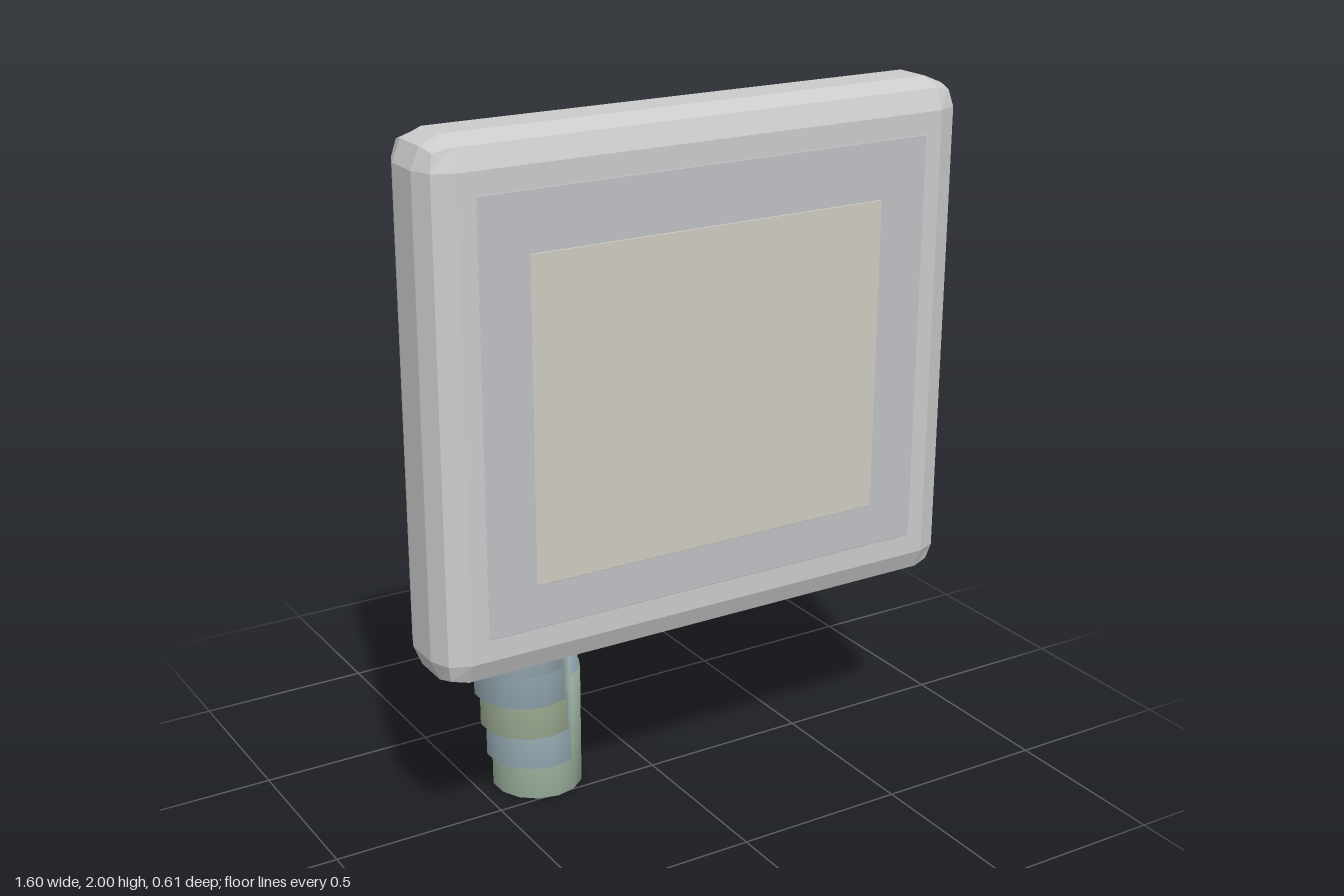
import * as THREE from 'three';
import { RoundedBoxGeometry } from 'three/addons/geometries/RoundedBoxGeometry.js';
import { mergeVertices } from 'three/addons/utils/BufferGeometryUtils.js';

const MINT = 0xb4e6d2, ORANGE = 0xd3a062, DARK = 0x5c6a66;

function mat(color, flatShading = true) {
  return new THREE.MeshStandardMaterial({ color, flatShading });
}

// Bevelled box given by its minimum and maximum corners
function block(parent, name, [x0, y0, z0], [x1, y1, z1], bevel, color) {
  const geo = new RoundedBoxGeometry(x1 - x0, y1 - y0, z1 - z0, 1, bevel);
  const mesh = new THREE.Mesh(geo, mat(color));
  mesh.position.set((x0 + x1) / 2, (y0 + y1) / 2, (z0 + z1) / 2);
  mesh.name = name;
  parent.add(mesh);
  return mesh;
}

// Cylinder between two points
function rod(parent, name, a, b, radius, color) {
  const dir = b.clone().sub(a);
  const mesh = new THREE.Mesh(new THREE.CylinderGeometry(radius, radius, dir.length(), 8), mat(color));
  mesh.position.copy(a).add(b).multiplyScalar(0.5);
  mesh.quaternion.setFromUnitVectors(new THREE.Vector3(0, 1, 0), dir.normalize());
  mesh.name = name;
  parent.add(mesh);
}

export function createModel() {
  const model = new THREE.Group();

  // Large slab with border and screen flush on both faces
  block(model, 'slab', [-0.8, 0.56, 0.04], [0.8, 2, 0.305], 0.08, 0xcccccc);
  block(model, 'screenBorder', [-0.67, 0.7, 0.039], [0.67, 1.86, 0.306], 0.002, 0xbfc1c4);
  block(model, 'screen', [-0.53, 0.82, 0.038], [0.53, 1.7, 0.307], 0.002, 0xcfccc1);

  // Housing and dark display on the back
  block(model, 'backHousing', [-0.54, 1.12, -0.055], [0.54, 1.76, 0.05], 0.02, 0x70867f);
  block(model, 'backDisplay', [-0.475, 1.17, -0.085], [0.475, 1.71, -0.05], 0.01, 0x66727e);

  // Bar chart on the display
  const chart = new THREE.Group();
  chart.name = 'barChart';
  model.add(chart);
  const heights = [0.34, 0.2, 0.25, 0.32, 0.12, 0.27, 0.31, 0.05, 0.28, 0.27];
  heights.forEach((h, i) => {
    const x = 0.39 - i * 0.086;
    const w = i < 4 ? 0.036 : 0.027;
    const color = i === 1 || i === 4 ? ORANGE : MINT;
    block(chart, 'chartBar', [x - w, 1.23, -0.098], [x + w, 1.23 + h, -0.08], 0.005, color);
  });
  [0.3, 0.14, 0.16].forEach((h, i) => {
    const x = 0.335 - i * 0.086;
    block(chart, 'chartAccent', [x - 0.02, 1.23, -0.094], [x + 0.02, 1.23 + h, -0.08], 0.005, ORANGE);
  });

  // Row of keys growing taller towards the column
  const keys = new THREE.Group();
  keys.name = 'keyRow';
  model.add(keys);
  for (let i = 0; i < 7; i++) {
    const x = 0.57 - i * 0.13;
    const w = 0.07 - i * 0.004;
    const top = 0.9 + i * 0.045;
    block(keys, 'key', [x - w, 0.81, -0.125], [x + w, top, -0.075], 0.01, 0xa6d4c2);
    if (i < 4) {
      block(keys, 'keyAccent', [x - w, 0.812, -0.126], [x - w + 0.032, top + 0.001, -0.074], 0.008, ORANGE);
    }
  }

  // Leaning column of overlapping cylinders, with a rod fanning to the top of each
  const column = new THREE.Group();
  column.name = 'column';
  const fan = new THREE.Group();
  fan.name = 'rodFan';
  model.add(column, fan);
  const hub = new THREE.Vector3(0.05, 0.88, -0.005);
  const colors = [0xa3baa6, 0xa0b8c0, 0xa6b59a, 0x9bb0ba, 0x9fb4bc, 0x8cc0c4,
    0x93c8ca, 0xa0c8b8, 0xa8d0bc, 0xaeddc8, MINT];
  colors.forEach((color, i) => {
    const t = i / 10;
    const r = 0.131 + 0.046 * t;
    const x = -0.32 - 0.118 * t, z = -0.12 - 0.01 * t;
    const geo = new THREE.CylinderGeometry(r, r, 0.36, 14);
    geo.deleteAttribute('normal');
    geo.deleteAttribute('uv');
    const soft = mergeVertices(geo);
    soft.computeVertexNormals();
    const mesh = new THREE.Mesh(soft, mat(color, false));
    mesh.position.set(x, 0.18 + 0.1 * i, z);
    mesh.name = 'columnSegment';
    column.add(mesh);
    rod(fan, 'fanRod', hub, new THREE.Vector3(x, 0.36 + 0.1 * i, z), 0.023, DARK);
  });

  return model;
}
